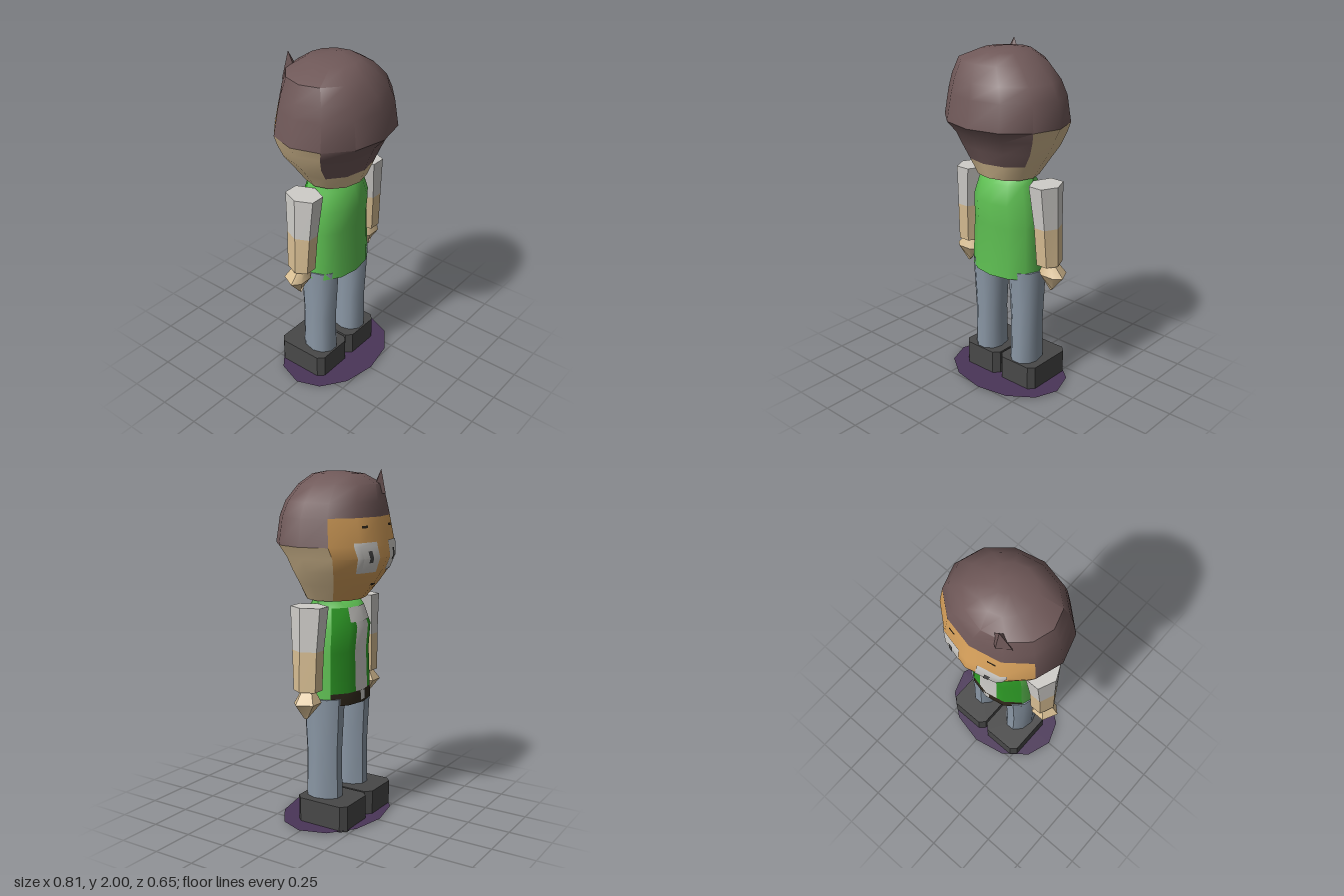
import * as THREE from 'three';
import { mergeGeometries, toCreasedNormals } from 'three/addons/utils/BufferGeometryUtils.js';

const mat = (name, color, side = THREE.FrontSide) => {
  const m = new THREE.MeshStandardMaterial({ color, side });
  m.name = name;
  return m;
};

// Cross-section rows: [y, xMin, xMax, zFront, zBack]
const HEAD = [
  [1.29, -0.19, 0.185, -0.165, 0.165], [1.38, -0.25, 0.24, -0.24, 0.2],
  [1.46, -0.31, 0.295, -0.295, 0.23], [1.535, -0.345, 0.33, -0.325, 0.265],
  [1.6, -0.38, 0.365, -0.31, 0.325], [1.75, -0.355, 0.345, -0.28, 0.3],
  [1.83, -0.335, 0.305, -0.26, 0.275], [1.92, -0.3, 0.215, -0.23, 0.22],
  [1.975, -0.16, 0.12, -0.15, 0.14], [1.99, -0.05, 0.05, -0.05, 0.05],
];
const TORSO = [
  [0.7, -0.238, 0.232, -0.185, 0.155], [1.0, -0.225, 0.222, -0.175, 0.145],
  [1.14, -0.22, 0.22, -0.19, 0.16], [1.25, -0.185, 0.185, -0.15, 0.13],
  [1.29, -0.175, 0.18, -0.1, 0.1],
];
const ARM = [
  [0.81, 0.23, 0.37, -0.095, 0.07], [1.035, 0.218, 0.363, -0.1, 0.085],
  [1.275, 0.185, 0.358, -0.117, 0.106],
];
const HAND = [
  [0.65, 0.318, 0.322, -0.022, -0.018], [0.745, 0.235, 0.405, -0.1, 0.045],
  [0.81, 0.27, 0.345, -0.06, 0.02],
];
const LEG = [
  [0.13, 0.052, 0.225, -0.125, 0.095], [0.4, 0.055, 0.225, -0.12, 0.092],
  [0.74, 0.04, 0.238, -0.137, 0.11],
];
const mirror = (rows, s) => s > 0 ? rows : rows.map(([y, a, b, f, k]) => [y, -b, -a, f, k]);

// Point on a lofted body; a counts polygon corners from +x towards +z
function pointOn(rows, sides, a, y, out = 0) {
  let i = 0;
  while (i < rows.length - 2 && y > rows[i + 1][0]) i++;
  const t = (y - rows[i][0]) / (rows[i + 1][0] - rows[i][0]);
  const [, xl, xr, zf, zb] = rows[i].map((v, k) => THREE.MathUtils.lerp(v, rows[i + 1][k], t));
  const corner = (n) => {
    const g = n / sides * Math.PI * 2, c = Math.cos(g), s = Math.sin(g);
    return new THREE.Vector3((xl + xr) / 2 + c * ((xr - xl) / 2 + out), y,
      s > 0 ? s * (zb + out) : -s * (zf - out));
  };
  const n = Math.floor(a);
  return corner(n).lerp(corner(n + 1), a - n);
}

function fromPoints(pts) {
  return new THREE.BufferGeometry().setFromPoints(pts);
}

// Part of a lofted surface between two corner numbers and two heights
function patch(rows, sides, a0, a1, y0, y1, out = 0) {
  const as = [a0], ys = [y0], pts = [];
  for (let a = Math.floor(a0) + 1; a < a1; a++) as.push(a);
  as.push(a1);
  rows.forEach(([y]) => { if (y > y0 && y < y1) ys.push(y); });
  ys.push(y1);
  for (let j = 0; j < ys.length - 1; j++) {
    for (let i = 0; i < as.length - 1; i++) {
      const p = (a, y) => pointOn(rows, sides, a, y, out);
      const A = p(as[i], ys[j]), B = p(as[i], ys[j + 1]);
      const C = p(as[i + 1], ys[j + 1]), D = p(as[i + 1], ys[j]);
      pts.push(A, B, D, B, C, D);
    }
  }
  return fromPoints(pts);
}

// Flat lid at the bottom or top of a loft
function cap(rows, sides, up) {
  const y = up ? rows[rows.length - 1][0] : rows[0][0], pts = [];
  for (let i = 1; i < sides - 1; i++) {
    const t = [0, i, i + 1].map((n) => pointOn(rows, sides, n, y));
    pts.push(...(up ? [t[0], t[2], t[1]] : t));
  }
  return fromPoints(pts);
}

const whole = (rows, sides) => [
  patch(rows, sides, 0, sides, rows[0][0], rows[rows.length - 1][0]),
  cap(rows, sides, false), cap(rows, sides, true),
];

export function createModel() {
  const model = new THREE.Group();
  model.name = 'figure';
  const hair = mat('hair brown', 0x6f5858), skin = mat('skin tan', 0xd8be93);
  const face = mat('face orange', 0xd9a25c), back = mat('light green', 0x5fc153);
  const vest = mat('vest green', 0x2f9f27), white = mat('shirt white', 0xcfcdc9);
  const denim = mat('trouser grey blue', 0x8b98a6), shoe = mat('charcoal', 0x484848);
  const belt = mat('belt brown', 0x30281c);
  const purple = mat('base purple', 0x4a3558, THREE.DoubleSide);

  const add = (name, material, parts, parent = model) => {
    const geo = parts.length > 1 ? mergeGeometries(parts) : parts[0];
    const m = new THREE.Mesh(toCreasedNormals(geo, 0.75), material);
    m.name = name;
    parent.add(m);
    return m;
  };

  // Head: hair shell, skin sides and coloured face
  const head = new THREE.Group();
  head.name = 'head';
  model.add(head);
  const H = (...r) => patch(HEAD, 12, ...r);
  add('hair', hair, [
    H(1, 5, 1.38, 1.6), H(-1, 7, 1.6, 1.75), H(0, 12, 1.75, 1.99), cap(HEAD, 12, true),
  ], head);
  add('headSkin', skin, [
    H(-1, 1, 1.29, 1.6), H(5, 7, 1.29, 1.6), H(1, 5, 1.29, 1.38), cap(HEAD, 12, false),
  ], head);
  add('face', face, [H(7, 11, 1.29, 1.75)], head);
  const tuft = new THREE.ConeGeometry(0.07, 0.13, 4).toNonIndexed();
  tuft.deleteAttribute('uv');
  tuft.scale(1, 1, 0.65);
  add('hairTuft', hair, [tuft], head).position.set(-0.14, 1.935, -0.2);
  head.children.at(-1).rotation.x = -0.12;

  // Eyes, pupils, brows and mouth hug the face
  for (const s of [-1, 1]) {
    const F = (a0, a1, y0, y1, out) => H(s > 0 ? 9 + a0 : 9 - a1, s > 0 ? 9 + a1 : 9 - a0, y0, y1, out);
    add('eye', white, [F(0.32, 1.2, 1.455, 1.62, 0.004)], head);
    add('pupil', shoe, [F(0.6, 0.76, 1.51, 1.575, 0.008)], head);
    add('eyebrow', belt, [F(0.6, 0.85, 1.695, 1.708, 0.004)], head);
  }
  add('mouth', belt, [H(8.8, 9.2, 1.375, 1.387, 0.004)], head);

  // Torso: plain back, open vest over a shirt, belt across the front
  const T = (...r) => patch(TORSO, 12, ...r);
  add('torsoBack', back, [
    T(-1, 7, 0.7, 1.29), T(7, 11, 1.25, 1.29), cap(TORSO, 12, false), cap(TORSO, 12, true),
  ]);
  add('vestFront', vest, [T(7, 8.4, 0.77, 1.25), T(9.5, 11, 0.77, 1.25)]);
  add('shirt', white, [T(8.4, 9.5, 0.77, 1.25)]);
  add('shirtCollar', white, [T(8.1, 9.9, 1.17, 1.25, 0.004)]);
  add('belt', belt, [T(7, 11, 0.7, 0.77)]);
  add('buckle', white, [T(8.8, 9.2, 0.715, 0.77, 0.004)]);

  // Limbs, mirrored
  for (const s of [1, -1]) {
    const side = s > 0 ? 'left' : 'right';
    const arm = mirror(ARM, s);
    add(side + 'Sleeve', white, [patch(arm, 6, 0, 6, 1.035, 1.275), cap(arm, 6, true)]);
    add(side + 'Forearm', skin, [patch(arm, 6, 0, 6, 0.81, 1.035), cap(arm, 6, false)]);
    add(side + 'Hand', skin, whole(mirror(HAND, s), 6));
    add(side + 'Leg', denim, whole(mirror(LEG, s), 10));

    // Shoe: block with clipped corners
    const x0 = 0.006, x1 = 0.27, z0 = -0.1, z1 = 0.23, c = 0.033;
    const outline = new THREE.Shape([
      [x0 + c, z0], [x1 - c, z0], [x1, z0 + c], [x1, z1 - c],
      [x1 - c, z1], [x0 + c, z1], [x0, z1 - c], [x0, z0 + c],
    ].map(([x, y]) => new THREE.Vector2(x * s, y)));
    const block = new THREE.ExtrudeGeometry(outline, { depth: 0.15, bevelEnabled: false });
    block.rotateX(-Math.PI / 2);
    add(side + 'Shoe', shoe, [block]);
  }

  // Flat base disc
  const DISC = [[0.008, -0.385, 0.385, -0.305, 0.275], [0.009, -0.385, 0.385, -0.305, 0.275]];
  add('baseDisc', purple, [cap(DISC, 12, true)]);
  return model;
}
